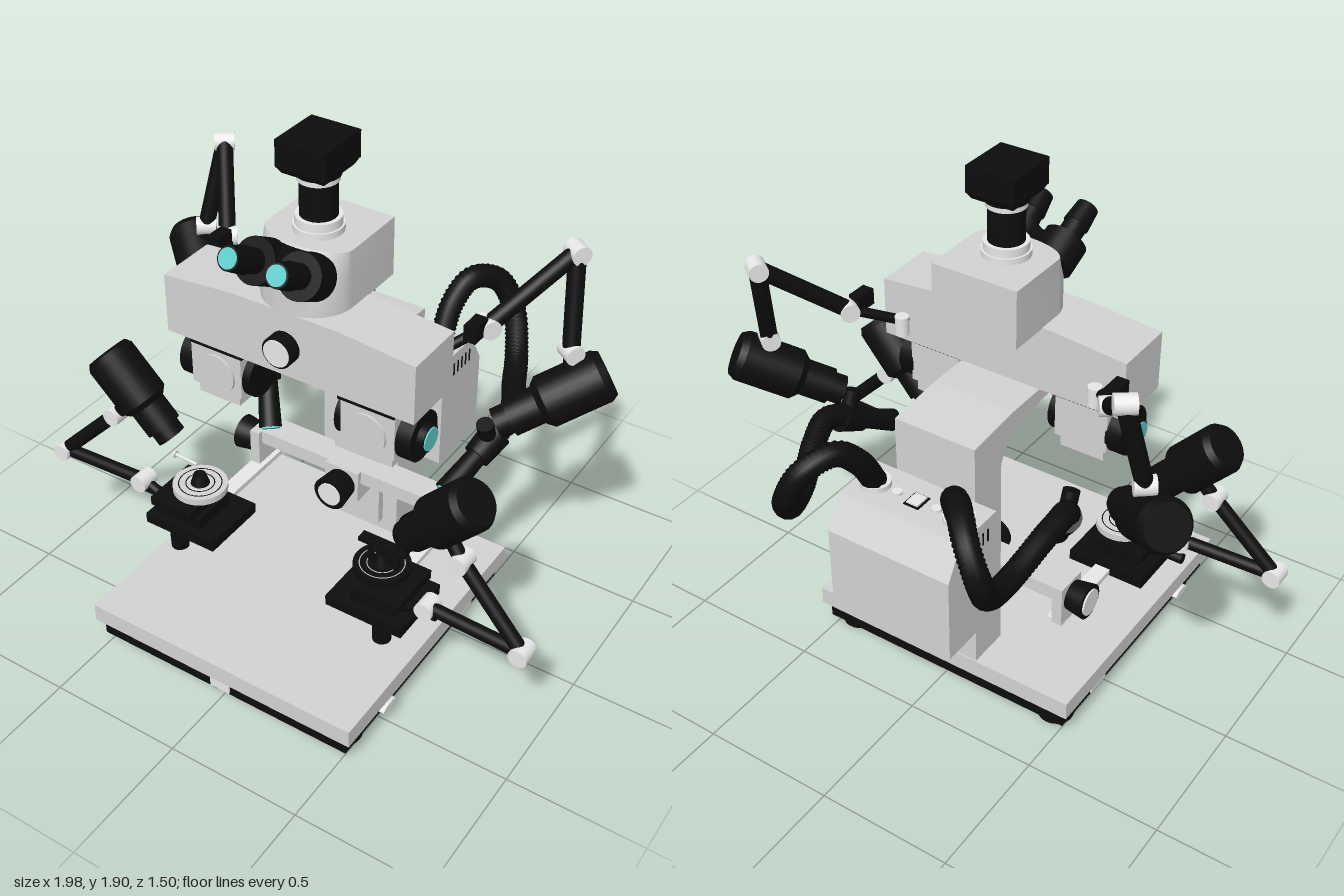
import * as THREE from 'three';
import { toCreasedNormals } from 'three/addons/utils/BufferGeometryUtils.js';

const mat = (name, color, extra = {}) =>
  Object.assign(new THREE.MeshStandardMaterial({ color, ...extra }), { name });

export function createModel() {
  const root = new THREE.Group();
  root.name = 'comparisonMicroscope';
  const grey = mat('light grey', 0xd2d2d2);
  const white = mat('white', 0xf0f0f0);
  const black = mat('black', 0x0d0d0d);
  const cyan = mat('lens cyan', 0x62cccc);
  const V = (p) => new THREE.Vector3(...p);

  function add(name, geo, m, parent = root) {
    const mesh = new THREE.Mesh(geo, m);
    mesh.name = name;
    parent.add(mesh);
    return mesh;
  }
  // box given by its min and max corners
  function box(name, m, [x0, x1], [y0, y1], [z0, z1], parent) {
    const g = new THREE.BoxGeometry(Math.abs(x1 - x0), y1 - y0, z1 - z0);
    g.translate((x0 + x1) / 2, (y0 + y1) / 2, (z0 + z1) / 2);
    return add(name, g, m, parent);
  }
  // cylinder or cone running from point a to point b
  function rod(name, m, a, b, ra, rb = ra, sides = 28, parent = root) {
    const A = V(a), B = V(b), d = B.clone().sub(A);
    const mesh = add(name, new THREE.CylinderGeometry(rb, ra, d.length(), sides), m, parent);
    mesh.position.copy(A).lerp(B, 0.5);
    mesh.quaternion.setFromUnitVectors(new THREE.Vector3(0, 1, 0), d.normalize());
    return mesh;
  }
  const shapeOf = (pts) => new THREE.Shape(pts.map((p) => new THREE.Vector2(...p)));
  // side profile of (z, y) points extruded across x
  function sideExtrude(name, m, pts, width, x = 0) {
    const g = new THREE.ExtrudeGeometry(shapeOf(pts), { depth: width, bevelEnabled: false });
    g.rotateY(-Math.PI / 2).translate(x + width / 2, 0, 0);
    return add(name, g, m);
  }
  const mix = (a, b, t) => V(a).lerp(V(b), t).toArray();

  // base
  box('basePlate', grey, [-0.54, 0.54], [0.1, 0.17], [-0.33, 0.745]);
  box('baseTray', black, [-0.515, 0.515], [0.035, 0.1], [-0.31, 0.725]);
  box('frontTab', white, [-0.04, 0.04], [0.045, 0.095], [0.72, 0.732]);
  for (const s of [-1, 1]) {
    for (const z of [0.62, -0.23]) rod('foot', black, [s * 0.44, 0, z], [s * 0.44, 0.04, z], 0.065);
    box('sidePlate', white, [s * 0.512, s * 0.52], [0.04, 0.09], [-0.12, -0.02]);
    const button = rod('sideButton', white, [s * 0.51, 0.08, 0.5], [s * 0.55, 0.08, 0.5], 0.015);
    button.scale.z = 2.8;
  }

  // column with its forward arm
  sideExtrude('columnAndArm', grey, [[-0.325, 0.17], [-0.17, 0.17], [-0.17, 0.95], [-0.12, 1.03],
    [0.08, 1.07], [0.17, 1.07], [0.17, 1.12], [-0.1, 1.12], [-0.325, 1.1]], 0.32);

  // power box behind the column
  sideExtrude('powerBox', grey, [[-0.6, 0.445], [-0.325, 0.445], [-0.325, 0.89], [-0.53, 0.89],
    [-0.6, 0.77]], 0.49);
  box('switchFrame', black, [-0.03, 0.03], [0.889, 0.894], [-0.465, -0.395]);
  box('powerSwitch', white, [-0.023, 0.023], [0.89, 0.9], [-0.458, -0.402]);
  for (const s of [-1, 1]) {
    rod('boxDial', white, [s * 0.08, 0.885, -0.43], [s * 0.08, 0.9, -0.43], 0.018);
    rod('hoseSocket', white, [s * 0.17, 0.885, -0.43], [s * 0.17, 0.91, -0.43], 0.055);
    for (let i = 0; i < 6; i++) {
      const z = -0.52 + i * 0.028;
      box('ventSlit', black, [s * 0.243, s * 0.247], [0.8, 0.85], [z, z + 0.008]);
    }
  }

  // cross beam
  const beam = new THREE.ExtrudeGeometry(shapeOf([[-0.485, 1.12], [0.485, 1.12], [0.485, 1.34],
    [0.2, 1.365], [-0.2, 1.365], [-0.485, 1.34]]), { depth: 0.235, bevelEnabled: false });
  add('crossBeam', beam.translate(0, 0, 0.06), grey);
  rod('beamKnob', black, [0, 1.235, 0.29], [0, 1.235, 0.343], 0.057);
  rod('beamKnobFace', white, [0, 1.235, 0.34], [0, 1.235, 0.348], 0.049);

  // viewing head, rounded and sloped at the front
  const plan = new THREE.Shape();
  plan.moveTo(-0.165, -0.095);
  plan.lineTo(0.165, -0.095);
  plan.lineTo(0.165, 0.15);
  plan.absellipse(0, 0.15, 0.165, 0.15, 0, Math.PI, false);
  const headGeo = new THREE.ExtrudeGeometry(plan, { depth: 0.215, steps: 2, bevelEnabled: false, curveSegments: 24 });
  headGeo.rotateX(Math.PI / 2).translate(0, 1.577, 0);
  const hp = headGeo.attributes.position;
  for (let i = 0; i < hp.count; i++) {
    if (hp.getY(i) > 1.55 && hp.getZ(i) > 0.15) hp.setZ(i, 0.15 + (hp.getZ(i) - 0.15) * 0.5);
  }
  add('viewingHead', toCreasedNormals(headGeo, 0.5), grey);

  // camera port, turned in one stack, and camera
  const port = [[1.575, 1.6, 0.085, white], [1.6, 1.63, 0.078, white], [1.63, 1.76, 0.063, black],
    [1.755, 1.775, 0.07, white], [1.775, 1.795, 0.075, black]];
  for (const [y0, y1, r, m] of port) rod('cameraPort', m, [0, y0, 0.095], [0, y1, 0.095], r, r, 40);
  const cam = new THREE.CylinderGeometry(0.1 * Math.SQRT2, 0.085 * Math.SQRT2, 0.025, 4);
  add('cameraTaper', cam.rotateY(Math.PI / 4).scale(0.92, 1, 1).translate(0, 1.8, 0.097), black);
  box('camera', black, [-0.092, 0.092], [1.81, 1.905], [-0.004, 0.198]);

  // eyepieces
  box('eyepieceBridge', black, [-0.07, 0.07], [1.47, 1.57], [0.2, 0.31]);
  for (const s of [-1, 1]) {
    const a = [s * 0.08, 1.495, 0.24], b = [s * 0.09, 1.615, 0.455];
    rod('prismHousing', black, a, mix(a, b, 0.42), 0.078);
    rod('eyepieceTube', black, mix(a, b, 0.4), mix(a, b, 0.72), 0.042);
    rod('eyecup', black, mix(a, b, 0.68), b, 0.047, 0.04);
    rod('eyeLens', cyan, b, mix(a, b, 1.015), 0.034);
  }

  // objective units under the beam
  for (const s of [-1, 1]) {
    box('objectiveMount', black, [s * 0.19, s * 0.405], [1.095, 1.12], [0.09, 0.28]);
    box('objectiveHousing', grey, [s * 0.2, s * 0.405], [0.93, 1.1], [0.1, 0.275]);
    box('objectiveFoot', grey, [s * 0.22, s * 0.39], [0.885, 0.93], [0.11, 0.26]);
    rod('housingCap', grey, [s * 0.3, 1.0, 0.27], [s * 0.3, 1.0, 0.285], 0.075);
    rod('objectiveWheel', black, [s * 0.4, 0.995, 0.185], [s * 0.46, 0.995, 0.185], 0.09);
    rod('objectiveHub', black, [s * 0.46, 0.995, 0.185], [s * 0.485, 0.995, 0.185], 0.05);
    rod('sideLens', cyan, [s * 0.483, 0.995, 0.185], [s * 0.49, 0.995, 0.185], 0.042);
    rod('innerWheel', black, [s * 0.17, 0.995, 0.185], [s * 0.21, 0.995, 0.185], 0.085);
  }

  // stage carriage: slide panel, crossbar, brackets and knobs
  box('slidePanel', grey, [-0.095, 0.1], [0.22, 0.605], [-0.18, -0.14]);
  box('crossbar', grey, [-0.41, 0.41], [0.45, 0.505], [-0.165, -0.06]);
  box('carriageBlock', grey, [-0.07, 0.07], [0.38, 0.505], [-0.165, -0.04]);
  rod('focusKnob', black, [0, 0.44, -0.05], [0, 0.44, 0.04], 0.056, 0.066);
  rod('focusKnobFace', white, [0, 0.44, 0.038], [0, 0.44, 0.046], 0.046);
  for (const s of [-1, 1]) {
    box('endBracket', grey, [s * 0.37, s * 0.41], [0.345, 0.505], [-0.165, -0.04]);
    box('stageArm', white, [s * 0.35, s * 0.41], [0.342, 0.362], [-0.165, 0.22]);
    rod('sideKnob', black, [s * 0.41, 0.44, -0.095], [s * 0.48, 0.44, -0.095], 0.055, 0.066);
    rod('sideKnobFace', white, [s * 0.478, 0.44, -0.095], [s * 0.486, 0.44, -0.095], 0.05);
  }

  // specimen stages
  for (const s of [-1, 1]) {
    const st = new THREE.Group();
    st.name = s > 0 ? 'leftStage' : 'rightStage';
    root.add(st);
    box('stagePlate', black, [s * 0.24, s * 0.54], [0.335, 0.375], [0.17, 0.43], st);
    box('stageSlide', black, [s * 0.32, s * 0.49], [0.375, 0.42], [0.22, 0.4], st);
    box('stageTop', black, [s * 0.34, s * 0.52], [0.42, 0.455], [0.2, 0.42], st);
    rod('stagePost', black, [s * 0.435, 0.235, 0.375], [s * 0.435, 0.34, 0.375], 0.033, 0.036, 24, st);
    rod('stageKnob', black, [s * 0.54, 0.4, 0.33], [s * 0.62, 0.4, 0.33], 0.02, 0.02, 16, st);
    box('knobLink', black, [s * 0.48, s * 0.56], [0.39, 0.41], [0.32, 0.34], st);
    const x = s * 0.385, z = 0.3;
    rod('discNeck', black, [x, 0.455, z], [x, 0.475, z], 0.06, 0.06, 28, st);
    rod('stageDisc', s < 0 ? grey : black, [x, 0.475, z], [x, 0.5, z], 0.1, 0.1, 40, st);
    for (let ring = 1; ring < 4; ring++) {
      const groove = new THREE.TorusGeometry(0.026 * ring, 0.002, 4, 32).rotateX(Math.PI / 2);
      add('discRing', groove.translate(x, 0.5, z), s < 0 ? black : grey, st);
    }
    rod('specimenHolder', black, [x, 0.5, z], [x, 0.54, z], 0.035, 0.022, 20, st);
    if (s > 0) {
      box('clampBar', black, [0.3, 0.48], [0.572, 0.588], [0.28, 0.32], st);
      for (const cx of [0.34, 0.385, 0.44]) rod('clampPin', black, [cx, 0.5, z], [cx, 0.595, z], 0.012, 0.012, 10, st);
    } else {
      rod('needle', white, [-0.49, 0.583, 0.3], [-0.395, 0.578, 0.3], 0.006, 0.006, 10, st);
      rod('needleHead', white, [-0.495, 0.583, 0.3], [-0.488, 0.583, 0.3], 0.014, 0.014, 12, st);
    }
  }

  // jointed arms and spot lamps
  function joint(p, axis = [0, 0, 1], r = 0.034, half = 0.036) {
    const d = V(axis).normalize().multiplyScalar(half);
    rod('armJoint', white, V(p).sub(d).toArray(), V(p).add(d).toArray(), r, r, 20);
  }
  function lamp(a, b) {
    rod('lampRim', black, a, mix(a, b, 0.06), 0.078, 0.092);
    rod('lampBody', black, mix(a, b, 0.06), mix(a, b, 0.56), 0.092);
    rod('lampCollar', black, mix(a, b, 0.56), mix(a, b, 0.62), 0.092, 0.07);
    rod('lampNose', black, mix(a, b, 0.62), mix(a, b, 0.88), 0.066);
    rod('lampTip', black, mix(a, b, 0.88), b, 0.054);
  }
  for (const s of [-1, 1]) {
    const m = ([x, y, z]) => [s * x, y, z];
    // upper pair, carried by the beam
    const up = [[0.39, 1.2, 0.06], [0.52, 1.285, -0.1], [0.7, 1.5, -0.34], [0.745, 1.175, -0.265]].map(m);
    rod('armMount', black, up[0], up[1], 0.018);
    rod('armLink', black, up[1], up[2], 0.03);
    rod('armLink', black, up[2], up[3], 0.03);
    rod('lampStem', black, up[3], m([0.76, 1.05, -0.25]), 0.025);
    box('armClamp', black, [s * 0.485, s * 0.53], [1.27, 1.33], [-0.08, 0.0]);
    joint(m([0.39, 1.2, 0.03]), [0, 1, 0], 0.025);
    for (const p of up.slice(1)) joint(p, [s * 0.8, 0, 0.6]);
    lamp(m([0.86, 1.1, -0.32]), m([0.58, 0.92, -0.09]));
    // lower pair, carried by the stages
    const lo = [[0.6, 0.457, 0.36], [0.957, 0.457, 0.375], [0.71, 0.707, 0.35]].map(m);
    rod('armLink', black, m([0.5, 0.4, 0.35]), lo[0], 0.02);
    rod('armLink', black, lo[0], lo[1], 0.024);
    rod('armLink', black, lo[1], lo[2], 0.026);
    rod('lampStem', black, lo[2], m([0.65, 0.78, 0.335]), 0.025);
    for (const p of lo) joint(p);
    lamp(m([0.74, 0.955, 0.335]), m([0.485, 0.68, 0.32]));
  }

  // ribbed hoses: tube rings alternate in radius
  function hose(name, pts) {
    const curve = new THREE.CatmullRomCurve3(pts.map(V)), segs = 150, sides = 14;
    const g = new THREE.TubeGeometry(curve, segs, 0.042, sides);
    const pos = g.attributes.position, v = new THREE.Vector3();
    for (let i = 0; i <= segs; i++) {
      const c = curve.getPointAt(i / segs), k = i % 2 ? 1.05 : 0.93;
      for (let j = 0; j <= sides; j++) {
        const n = i * (sides + 1) + j;
        v.fromBufferAttribute(pos, n).sub(c).multiplyScalar(k).add(c);
        pos.setXYZ(n, v.x, v.y, v.z);
      }
    }
    g.computeVertexNormals();
    add(name, g, black);
  }
  function wand(a, b) {
    rod('wandGrip', black, a, mix(a, b, 0.4), 0.055, 0.048);
    rod('wandTube', black, mix(a, b, 0.4), b, 0.036, 0.042);
    rod('wandLens', cyan, b, mix(a, b, 1.02), 0.034);
    rod('wandClamp', black, mix(a, b, 0.15), V(mix(a, b, 0.15)).add(V([0, 0.1, 0.04])).toArray(), 0.03);
  }
  hose('rightHose', [[-0.17, 0.9, -0.43], [-0.2, 1.03, -0.5], [-0.28, 1.1, -0.59], [-0.38, 1.06, -0.69],
    [-0.44, 0.95, -0.71], [-0.42, 0.83, -0.63], [-0.41, 0.8, -0.5], [-0.42, 0.85, -0.3],
    [-0.42, 0.86, -0.18], [-0.395, 0.81, -0.12]]);
  wand([-0.405, 0.82, -0.15], [-0.285, 0.6, 0]);
  hose('leftHose', [[0.17, 0.9, -0.43], [0.17, 1.03, -0.51], [0.2, 1.1, -0.59], [0.26, 1.06, -0.69],
    [0.32, 0.94, -0.71], [0.39, 0.82, -0.61], [0.45, 0.8, -0.48], [0.53, 0.84, -0.32],
    [0.57, 0.86, -0.2], [0.55, 0.83, -0.1]]);
  wand([0.56, 0.84, -0.14], [0.5, 0.715, 0.09]);

  return root;
}
